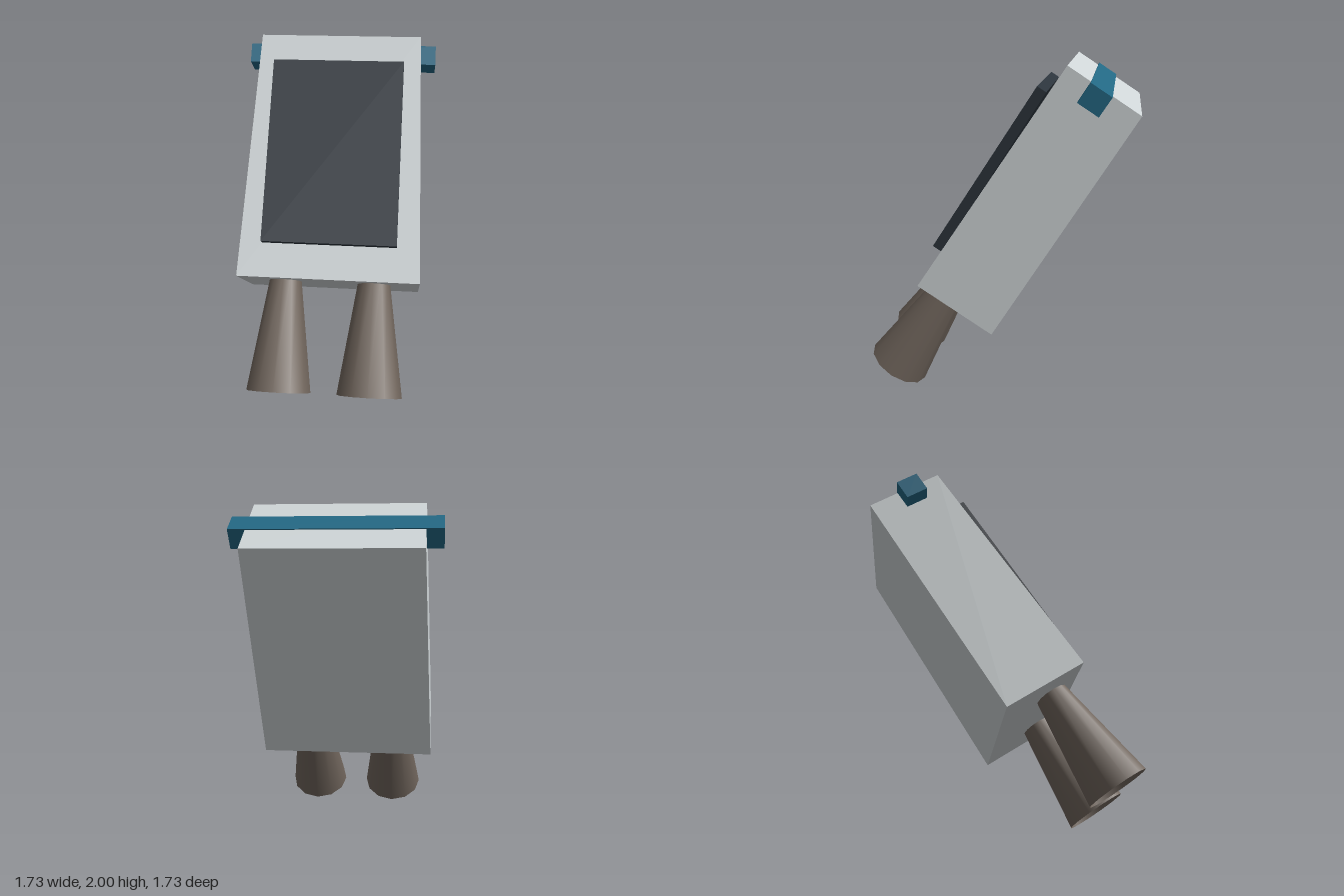
import * as THREE from 'three';

const paint = (name, color) => {
  const m = new THREE.MeshStandardMaterial({ color });
  m.name = name;
  return m;
};

export function createModel() {
  const shell = paint('pale grey', 0xcfd5d7);
  const dark = paint('dark slate', 0x2c343c);
  const teal = paint('teal', 0x236884);
  const brown = paint('warm brown', 0x70655c);
  brown.side = THREE.DoubleSide; // nozzles are open tubes

  // Everything is built upright, facing +z, then turned and leaned back
  const model = new THREE.Group();
  model.name = 'backpack';
  const pack = new THREE.Group();
  pack.name = 'tiltedPack';
  pack.rotation.order = 'YXZ';
  pack.rotation.set(THREE.MathUtils.degToRad(-32.9), -Math.PI / 4, 0);
  pack.position.set(0.086, 1.236, -0.086);
  model.add(pack);

  const add = (name, geometry, material, x, y, z) => {
    const mesh = new THREE.Mesh(geometry, material);
    mesh.name = name;
    mesh.position.set(x, y, z);
    pack.add(mesh);
    return mesh;
  };

  // Main case, narrowing to 92% at the top
  const height = 1.516;
  const caseGeometry = new THREE.BoxGeometry(1.068, height, 0.514);
  const p = caseGeometry.attributes.position;
  for (let i = 0; i < p.count; i++) {
    if (p.getY(i) > 0) {
      p.setX(i, p.getX(i) * 0.92);
      p.setZ(i, p.getZ(i) * 0.92);
    }
  }
  caseGeometry.computeVertexNormals();
  add('case', caseGeometry, shell, 0, 0, 0);

  // Front panel and the crossbar through the top
  add('frontPanel', new THREE.BoxGeometry(0.79, 1.12, 0.06), dark, 0, 0.005, 0.283);
  add('crossbar', new THREE.BoxGeometry(1.178, 0.124, 0.135), teal, 0, 0.702, 0.02);

  // Flared, open nozzles under the case
  for (const [name, side] of [['leftNozzle', 1], ['rightNozzle', -1]]) {
    const nozzle = new THREE.CylinderGeometry(0.09, 0.19, 0.7, 12, 1, true);
    add(name, nozzle, brown, side * 0.266, -1.056, 0.091);
  }

  return model;
}
